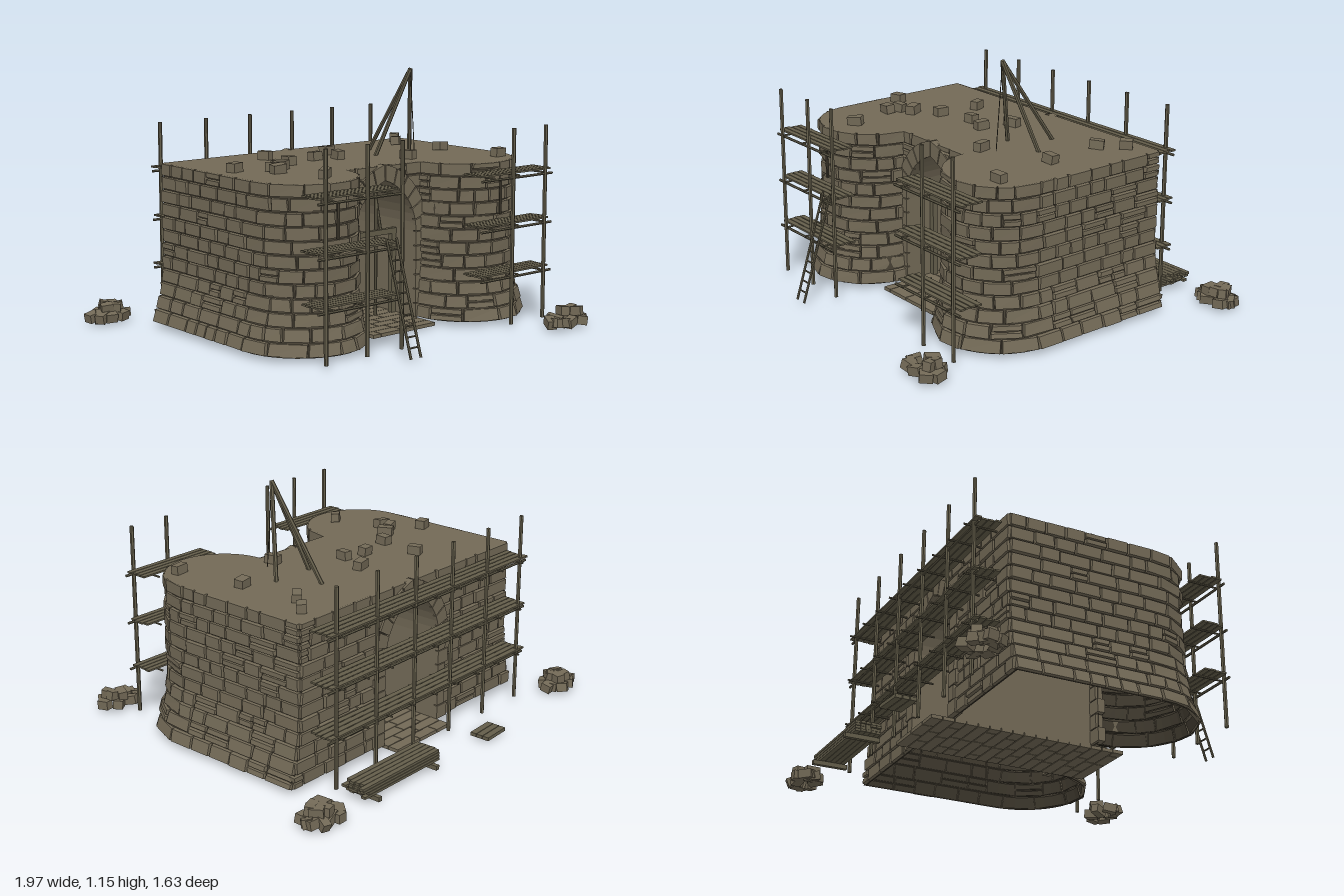
import * as THREE from 'three';

const mat = (name, color) => {
  const m = new THREE.MeshStandardMaterial({ color, side: THREE.DoubleSide, flatShading: true });
  m.name = name;
  return m;
};

let seed = 7;
const rnd = (a = 0, b = 1) => {
  seed = (seed * 16807) % 2147483647;
  return a + (b - a) * (seed / 2147483647);
};

// Main dimensions
const Y0 = 0.02, TOP = 0.74, BACK = -0.49, FRONT = 0.2, SIDE = 0.71;
const CX = 0.465, R = 0.245, STRAIGHT = FRONT - BACK;
const HALF = 0.185, SPRING = 0.42, C = 0.077, AR = HALF + C, RING = 0.07;

const flare = y => 0.06 * Math.pow(Math.max(0, 1 - (y - Y0) / 0.27), 1.5);
const archHalf = (y, k = 0) => y < SPRING ? HALF + k
  : Math.max(0, Math.sqrt(Math.max(0, (AR + k) ** 2 - (y - SPRING) ** 2)) - C);

// Wall runs: distance along wall, height, outward depth -> point
const backRun = (s, y, d) => [s, y, BACK - d];
const gateRun = (s, y, d) => [s, y, FRONT + d];
const sideRun = (s, y, d) => {
  if (s <= STRAIGHT) return [SIDE + flare(y) + d, y, BACK + s];
  const a = (s - STRAIGHT) / R;
  const w = a < Math.PI / 2 ? 1 : 1 - 0.7 * (a / (Math.PI / 2) - 1);
  const r = R + flare(y) * w + d;
  return [CX + Math.cos(a) * r, y, FRONT + Math.sin(a) * r];
};
const SIDE_LENGTH = STRAIGHT + Math.PI * R;

function quadGeometry(quads) {
  const pos = [];
  for (const [a, b, c, d] of quads) pos.push(...a, ...b, ...c, ...a, ...c, ...d);
  const g = new THREE.BufferGeometry();
  g.setAttribute('position', new THREE.Float32BufferAttribute(pos, 3));
  g.computeVertexNormals();
  return g;
}

// One chamfered stone on a wall run
function addBrick(quads, run, s0, s1, y0, y1, sign) {
  const d = rnd(0.003, 0.011), g = 0.002, b = 0.005, k = rnd(-0.006, 0.006);
  const corners = (i, depth) => [[s0 + i, y0 + i], [s1 - i, y0 + i], [s1 - i + k, y1 - i], [s0 + i + k * 0.5, y1 - i]]
    .map(([s, y]) => { const p = run(s, y, depth); return [p[0] * sign, p[1], p[2]]; });
  const inner = corners(g, -0.014), outer = corners(b, d);
  const flip = (run === gateRun ? 1 : -1) * sign;
  const push = q => quads.push(flip > 0 ? q : q.reverse());
  push([...outer]);
  for (let i = 0; i < 4; i++) { const j = (i + 1) % 4; push([inner[i], inner[j], outer[j], outer[i]]); }
}

function addCourses(quads, run, range, sign) {
  const rows = 12, h = (TOP - Y0) / rows;
  for (let r = 0; r < rows; r++) {
    const y0 = Y0 + r * h, y1 = y0 + h, [a, b] = range(y0 + h / 2);
    let s = a;
    while (s < b - 0.005) {
      let e = s + rnd(0.07, 0.15);
      if (b - e < 0.045) e = b;
      if (rnd() < 0.12) {
        addBrick(quads, run, s, e, y0, y0 + h / 2, sign);
        addBrick(quads, run, s, e, y0 + h / 2, y1, sign);
      } else addBrick(quads, run, s, e, y0, y1, sign);
      s = e;
    }
  }
}

// Pointed arch outline, from +x foot over the apex to -x foot
function archPoints() {
  const pts = [[HALF, Y0]], end = Math.acos(C / AR);
  for (let i = 0; i <= 8; i++) {
    const a = end * i / 8;
    pts.push([AR * Math.cos(a) - C, SPRING + AR * Math.sin(a)]);
  }
  return pts.concat(pts.slice(0, -1).reverse().map(([x, y]) => [-x, y]));
}

export function createModel() {
  const model = new THREE.Group();
  model.name = 'gatehouse';
  const stone = mat('stone', 0x726956), joint = mat('joint', 0x443e32);
  const wood = mat('wood', 0x635d4a), rope = mat('rope', 0x4a4436);

  const add = (name, geo, m, parent = model) => {
    const mesh = new THREE.Mesh(geo, m);
    mesh.name = name;
    parent.add(mesh);
    return mesh;
  };
  const group = name => { const g = new THREE.Group(); g.name = name; model.add(g); return g; };
  const box = (name, x0, x1, y0, y1, z0, z1, m, parent) => {
    const b = add(name, new THREE.BoxGeometry(x1 - x0, y1 - y0, z1 - z0), m, parent);
    b.position.set((x0 + x1) / 2, (y0 + y1) / 2, (z0 + z1) / 2);
    return b;
  };
  const beam = (name, a, b, r, m, parent) => {
    const p = new THREE.Vector3(...a), q = new THREE.Vector3(...b), v = q.clone().sub(p);
    const mesh = add(name, new THREE.CylinderGeometry(r, r, v.length(), 6), m, parent);
    mesh.position.copy(p).add(q).multiplyScalar(0.5);
    mesh.quaternion.setFromUnitVectors(new THREE.Vector3(0, 1, 0), v.normalize());
    return mesh;
  };

  // Stone courses and the joints behind them
  for (const sign of [1, -1]) {
    const bricks = [], core = [];
    addCourses(bricks, backRun, y => [archHalf(y, 0.05), SIDE + flare(y)], sign);
    addCourses(bricks, sideRun, () => [0, SIDE_LENGTH], sign);
    addCourses(bricks, gateRun, y => [archHalf(y, 0.05), 0.24], sign);
    const P = (s, y) => { const p = sideRun(s, y, -0.008); return [p[0] * sign, p[1], p[2]]; };
    for (let i = 0; i < 36; i++) for (let j = 0; j < 12; j++) {
      const s = SIDE_LENGTH / 36, h = (TOP - 0.004 - Y0) / 12, y = Y0 + j * h;
      const q = [P(i * s, y), P(i * s, y + h), P((i + 1) * s, y + h), P((i + 1) * s, y)];
      core.push(sign > 0 ? q : q.reverse());
    }
    add('wallStones', quadGeometry(bricks), stone);
    add('wallCore', quadGeometry(core), joint);
  }

  // Flat wall cores with the arched opening
  const arch = archPoints();
  const plate = half => {
    const s = new THREE.Shape();
    s.moveTo(-half(Y0), Y0);
    for (let i = 1; i <= 8; i++) { const y = Y0 + (TOP - 0.004 - Y0) * i / 8; s.lineTo(-half(y), y); }
    for (let i = 8; i >= 0; i--) { const y = Y0 + (TOP - 0.004 - Y0) * i / 8; s.lineTo(half(y), y); }
    arch.forEach(([x, y]) => s.lineTo(x, y));
    return new THREE.ShapeGeometry(s);
  };
  add('gateWallCore', plate(() => 0.24), joint).position.z = FRONT - 0.008;
  const backCore = add('backWallCore', plate(y => SIDE - 0.006 + flare(y)), joint);
  backCore.rotation.y = Math.PI;
  backCore.position.z = BACK + 0.008;

  // Vaulted passage lining
  const lining = [];
  for (let i = 0; i < arch.length - 1; i++) {
    const [a, b] = [arch[i], arch[i + 1]];
    lining.push([[...a, BACK], [...a, FRONT], [...b, FRONT], [...b, BACK]]);
  }
  add('passageLining', quadGeometry(lining), stone);

  // Arch stones and jambs on both faces
  const archStones = group('archStones');
  for (const [z, out] of [[FRONT - 0.02, 0.036], [BACK - 0.016, 0.036]]) for (const sign of [1, -1]) {
    const n = 6, ri = AR, ro = AR + RING;
    const ei = Math.acos(C / ri), eo = Math.acos(C / ro);
    for (let i = 0; i < n; i++) {
      const pt = (r, e, t) => new THREE.Vector2(sign * Math.max(0, r * Math.cos(e * t) - C), SPRING + r * Math.sin(e * t));
      const t0 = (i + 0.04) / n, t1 = (i + 0.96) / n, tm = (t0 + t1) / 2;
      const s = new THREE.Shape([pt(ri, ei, t0), pt(ro, eo, t0), pt(ro, eo, tm), pt(ro, eo, t1), pt(ri, ei, t1), pt(ri, ei, tm)]);
      add('archStone', new THREE.ExtrudeGeometry(s, { depth: out, bevelEnabled: false }), stone, archStones).position.z = z;
    }
    for (let i = 0; i < 6; i++) {
      const h = (SPRING - Y0) / 6, w = i % 2 ? 0.05 : 0.07, y = Y0 + i * h;
      const xs = [sign * HALF, sign * (HALF + w)].sort((a, b) => a - b);
      box('jambStone', xs[0], xs[1], y + 0.002, y + h - 0.002, z, z + out, stone, archStones);
    }
  }

  // Roof deck with rounded tower ends
  const roof = new THREE.Shape();
  roof.moveTo(-SIDE, -BACK);
  roof.lineTo(SIDE, -BACK);
  roof.lineTo(SIDE, -FRONT);
  roof.absarc(CX, -FRONT, R, 0, -Math.PI, true);
  roof.lineTo(-CX + R, -FRONT);
  roof.absarc(-CX, -FRONT, R, 0, -Math.PI, true);
  const deck = add('roofDeck', new THREE.ShapeGeometry(roof, 16), stone);
  deck.rotation.x = -Math.PI / 2;
  deck.position.y = TOP - 0.002;

  // Narrow slits in the tower fronts
  for (const x of [-0.47, 0.48]) box('arrowSlit', x - 0.006, x + 0.006, 0.5, 0.66, 0.452, 0.459, joint);

  // Paved passage floor
  const floor = group('passageFloor');
  for (let i = 0; i < 17; i++) {
    const z = -0.58 + i * 0.0547, c = rnd(-0.08, 0.08);
    for (const [a, b] of [[-0.185, c - 0.06], [c - 0.06, c + 0.06], [c + 0.06, 0.185]])
      box('floorSlab', a + 0.002, b - 0.002, 0.008, 0.024, z + 0.002, z + 0.0527, stone, floor);
  }

  // Timber centring inside the gate
  const frame = group('gateFrame');
  box('crossBeam', -HALF, HALF, 0.395, 0.42, 0.06, 0.085, wood, frame);
  for (const s of [1, -1]) {
    box('gatePost', s * 0.168 - 0.012, s * 0.168 + 0.012, Y0, 0.42, 0.06, 0.085, wood, frame);
    beam('innerPost', [s * 0.07, Y0, 0.07], [s * 0.07, 0.6, 0.07], 0.008, wood, frame);
    beam('strut', [s * 0.1, 0.41, 0.07], [s * 0.06, 0.62, 0.07], 0.008, wood, frame);
  }

  // Scaffolds: poles, rails, cross poles and boards
  function scaffold(name, x0, x1, z0, z1, poleZ, poles, logs) {
    const g = group(name);
    for (const x of poles) beam('pole', [x, Y0, poleZ], [x, 0.905, poleZ], 0.0095, wood, g);
    for (const y of [0.253, 0.475, 0.7]) {
      beam('rail', [x0, y - 0.016, poleZ], [x1, y - 0.016, poleZ], 0.006, wood, g);
      for (const x of logs) beam('crossPole', [x, y - 0.006, z0 - 0.02], [x, y - 0.006, z1 + 0.02], 0.005, wood, g);
      const w = (z1 - z0) / 4;
      for (let i = 0; i < 4; i++)
        box('board', x0 + rnd(0, 0.012), x1 - rnd(0, 0.012), y, y + 0.008, z0 + i * w + 0.002, z0 + (i + 1) * w - 0.002, wood, g);
    }
  }
  const evenly = (a, b, n) => Array.from({ length: n }, (_, i) => a + (b - a) * i / (n - 1));
  scaffold('backScaffold', -0.68, 0.68, -0.63, -0.51, -0.615, evenly(-0.635, 0.63, 6), evenly(-0.61, 0.62, 9));
  scaffold('rightScaffold', -0.68, -0.235, 0.462, 0.575, 0.582, [-0.64, -0.42, -0.23], evenly(-0.61, -0.3, 3));
  scaffold('leftScaffold', 0.235, 0.68, 0.462, 0.575, 0.582, [0.43, 0.635], evenly(0.3, 0.61, 3));

  // Ladder
  const ladder = group('ladder');
  for (const x of [-0.315, -0.26]) beam('ladderRail', [x, Y0, 0.735], [x, 0.5, 0.58], 0.006, wood, ladder);
  for (let i = 1; i < 11; i++) {
    const t = i / 11, y = Y0 + 0.48 * t, z = 0.735 - 0.155 * t;
    beam('rung', [-0.315, y, z], [-0.26, y, z], 0.004, wood, ladder);
  }

  // Hoist tripod on the roof
  const hoist = group('hoist'), apex = [0.295, 1.14, 0.05];
  for (const foot of [[0.19, 0.735, -0.07], [0.4, 0.735, -0.07], [0.295, 0.735, -0.24]])
    beam('hoistLeg', foot, apex, 0.01, wood, hoist);
  beam('hoistRope', [0.295, 0.745, 0.082], apex, 0.002, rope, hoist);

  // Loose blocks on the roof
  const block = (name, x, y, z, tilt, parent) => {
    const b = add(name, new THREE.BoxGeometry(rnd(0.052, 0.07), 0.04, rnd(0.036, 0.048)), stone, parent);
    b.position.set(x, y, z);
    b.rotation.set(rnd(-tilt, tilt), rnd(0, Math.PI), rnd(-tilt, tilt));
  };
  const loose = group('roofBlocks');
  for (const [x, z] of [[-0.29, -0.28], [0.03, -0.23], [-0.13, -0.12], [-0.02, -0.09], [-0.31, -0.08], [-0.62, -0.06],
    [-0.42, 0], [-0.485, 0.03], [-0.5, 0.09], [0.23, 0.11], [0.545, -0.01], [0.52, -0.3], [0.6, -0.4], [-0.43, 0.32], [0.6, 0.32]])
    block('looseBlock', x, TOP + 0.018, z, 0.1, loose);

  // Rubble heaps on the ground
  for (const [x, z, rx, rz, n] of [[-0.885, -0.69, 0.08, 0.06, 15], [0.865, -0.74, 0.1, 0.055, 16], [0.64, 0.725, 0.1, 0.06, 11]]) {
    const heap = group('rubbleHeap');
    for (let i = 0; i < n; i++) {
      const high = i % 3 === 2, a = i * 2.4, r = high ? 0.45 : Math.sqrt(rnd(0.4, 1));
      block('rubble', x + rx * r * Math.cos(a), high ? 0.072 : 0.034, z + rz * r * Math.sin(a), 0.3, heap);
    }
  }

  // Stacked boards behind the wall
  const stack = group('boardStack');
  for (const x of [0.2, 0.58]) box('bearer', x - 0.01, x + 0.01, 0.01, 0.03, -0.81, -0.65, wood, stack);
  for (let j = 0; j < 4; j++) for (let i = 0; i < 5; i++)
    box('stackedBoard', 0.145 + rnd(0, 0.01), 0.655 - rnd(0, 0.04), 0.03 + j * 0.013, 0.041 + j * 0.013, -0.78 + i * 0.024, -0.758 + i * 0.024, wood, stack);
  for (let i = 0; i < 3; i++)
    box('spareBoard', -0.31, -0.17, 0.01, 0.026, -0.8 + i * 0.033, -0.77 + i * 0.033, wood, stack).rotation.y = 0.06;

  return model;
}
